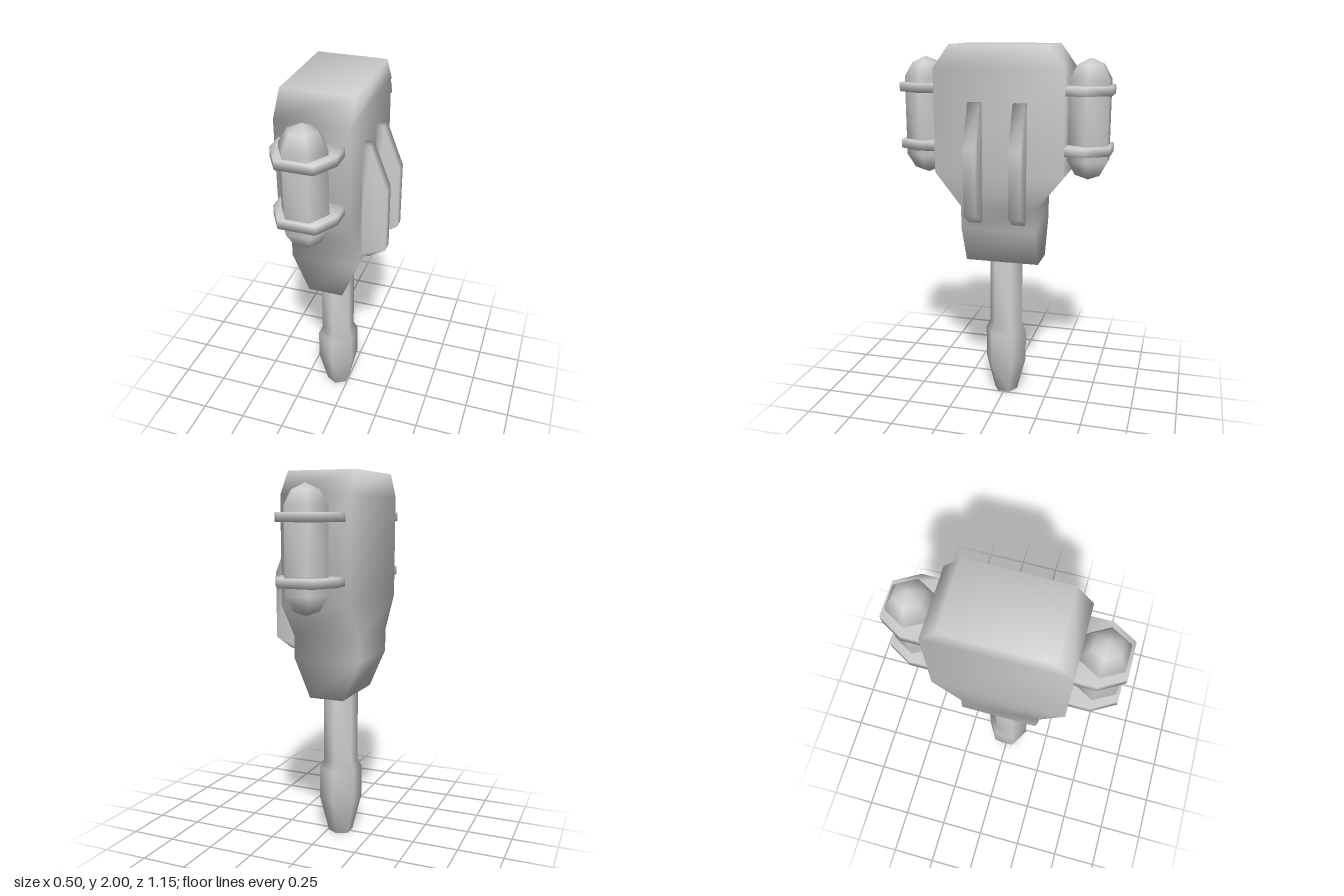
import * as THREE from 'three';
import { mergeVertices } from 'three/addons/utils/BufferGeometryUtils.js';

const CX = -0.065; // centre line of the body, barrel and tanks
const material = new THREE.MeshStandardMaterial({ color: 0xcccccc });

// Share corners so that the low-poly faces shade softly
function smooth(geometry) {
  geometry.deleteAttribute('normal');
  geometry.deleteAttribute('uv');
  const merged = mergeVertices(geometry, 1e-4);
  merged.computeVertexNormals();
  return merged;
}

function addMesh(parent, name, geometry) {
  const mesh = new THREE.Mesh(geometry, material);
  mesh.name = name;
  parent.add(mesh);
  return mesh;
}

// Rectangular sections [y, half width x, half depth z], bottom to top
function loft(rows) {
  const positions = [], index = [];
  for (const [y, hx, hz] of rows) {
    positions.push(-hx, y, hz, hx, y, hz, hx, y, -hz, -hx, y, -hz);
  }
  for (let r = 0; r < rows.length - 1; r++) {
    for (let i = 0; i < 4; i++) {
      const a = r * 4 + i, b = r * 4 + (i + 1) % 4;
      index.push(a, b, b + 4, a, b + 4, a + 4);
    }
  }
  const t = (rows.length - 1) * 4;
  index.push(0, 2, 1, 0, 3, 2, t, t + 1, t + 2, t, t + 2, t + 3);
  const geometry = new THREE.BufferGeometry();
  geometry.setAttribute('position', new THREE.Float32BufferAttribute(positions, 3));
  geometry.setIndex(index);
  geometry.computeVertexNormals();
  return geometry;
}

// Six-sided turned part from [radius, y] points, bottom to top
function hexLathe(points) {
  return smooth(new THREE.LatheGeometry(points.map(([r, y]) => new THREE.Vector2(r, y)), 6));
}

function extrude(points, depth) {
  const shape = new THREE.Shape(points.map(([x, y]) => new THREE.Vector2(x, y)));
  return new THREE.ExtrudeGeometry(shape, { depth, bevelEnabled: false });
}

export function createModel() {
  const model = new THREE.Group();
  model.name = 'model';

  // Main housing, narrowing towards the barrel
  addMesh(model, 'body', loft([
    [0.82, 0.095, 0.205], [1.03, 0.185, 0.205], [1.15, 0.185, 0.205],
    [1.33, 0.185, 0.348], [1.88, 0.185, 0.348], [2, 0.185, 0.26],
  ])).position.x = CX;

  // Barrel with a swollen, tapered muzzle
  addMesh(model, 'barrel', hexLathe([
    [0, 0], [0.068, 0], [0.119, 0.2], [0.119, 0.38], [0.095, 0.43], [0.095, 0.84], [0, 0.84],
  ])).position.x = CX;

  // Two side fins
  const finOutline = [[0.1, 1.075], [0.16, 1.075], [0.25, 1.13], [0.25, 1.48], [0.16, 1.71], [0.1, 1.71]];
  for (const z of [-0.155, 0.085]) {
    addMesh(model, 'fin', smooth(extrude(finOutline, 0.065))).position.z = z;
  }

  // A strapped tank at the front and at the back
  const strapOutline = [
    [-0.163, 0.33], [0.163, 0.33], [0.163, 0.455], [0.093, 0.574], [-0.093, 0.574], [-0.163, 0.455],
  ];
  for (const side of ['front', 'back']) {
    const group = new THREE.Group();
    group.name = side + 'TankAssembly';
    group.position.x = CX;
    if (side === 'back') group.rotation.y = Math.PI;

    const tank = addMesh(group, 'tank', hexLathe([
      [0, 1.295], [0.075, 1.325], [0.12, 1.4], [0.12, 1.825], [0.075, 1.9], [0, 1.933],
    ]));
    tank.position.z = 0.452;
    tank.rotation.y = Math.PI / 6;

    for (const top of [1.795, 1.487]) {
      const strap = addMesh(group, 'strap', smooth(extrude(strapOutline, 0.047)));
      strap.rotation.x = Math.PI / 2; // outline lies flat, thickness runs down
      strap.position.y = top;
    }
    model.add(group);
  }
  return model;
}
